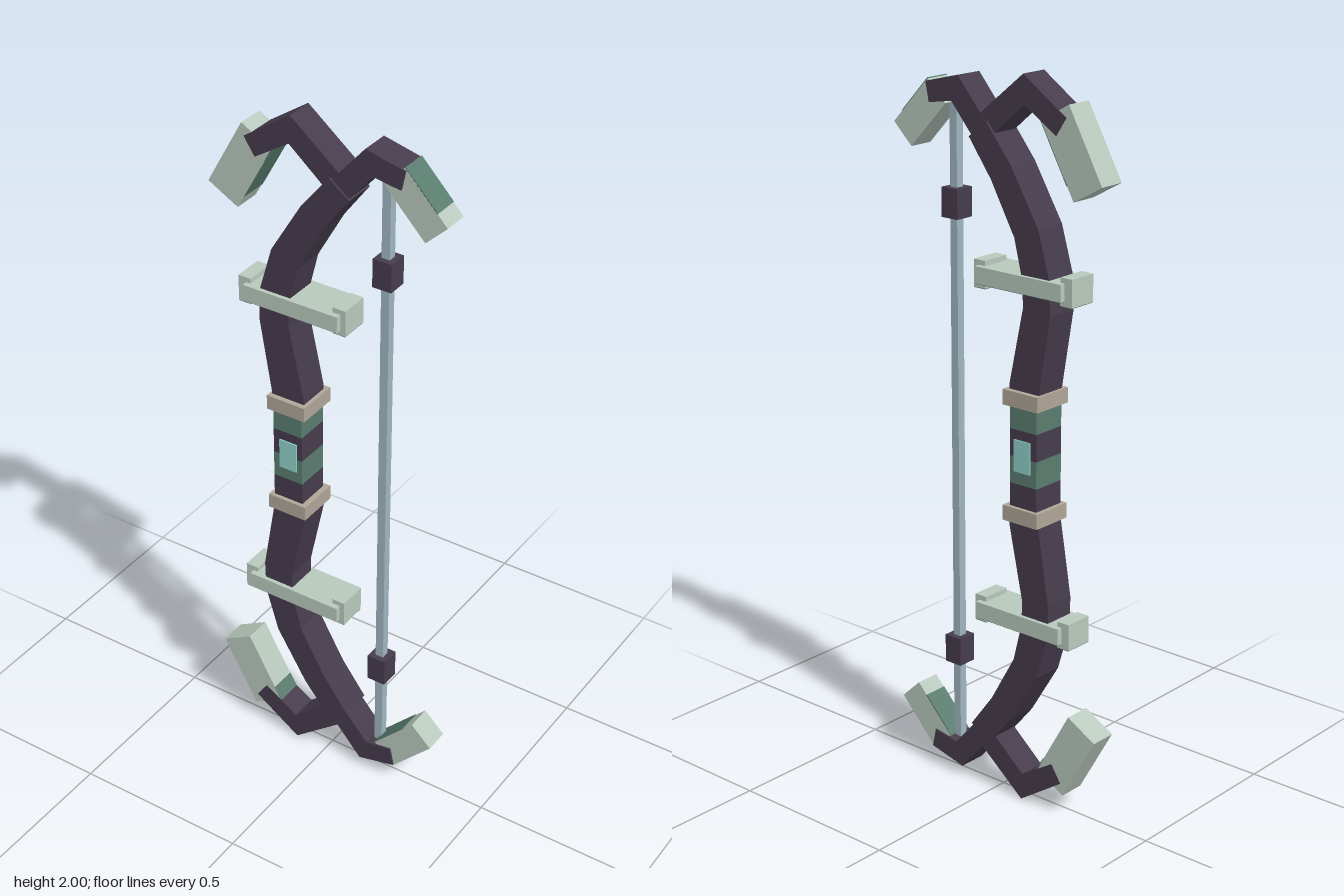
import * as THREE from 'three';

const paint = (name, color) => {
  const m = new THREE.MeshStandardMaterial({ color, flatShading: true });
  m.name = name;
  return m;
};

export function createModel() {
  const dark = paint('dark plum', 0x463c4c);
  const pale = paint('pale sage', 0xb9c9bd);
  const green = paint('deep green', 0x5b7d70);
  const tan = paint('tan', 0xb0a698);
  const cyan = paint('cyan', 0x8fd0c8);
  const steel = paint('blue grey', 0xa0b6c0);

  const bow = new THREE.Group();
  bow.name = 'bow';

  const add = (parent, name, geometry, material, x = 0, y = 0, z = 0) => {
    const mesh = new THREE.Mesh(geometry, material);
    mesh.name = name;
    mesh.position.set(x, y, z);
    parent.add(mesh);
    return mesh;
  };
  const box = (parent, name, material, w, h, d, x, y, z = 0) =>
    add(parent, name, new THREE.BoxGeometry(w, h, d), material, x, y, z);

  // Flat beam with mitred corners along [x, y, width] points
  const beam = (name, points, depth, flip) => {
    const pts = points.map(([x, y, w]) => ({ p: new THREE.Vector2(x, flip(y)), w }));
    const left = [], right = [];
    pts.forEach(({ p, w }, i) => {
      const a = pts[Math.max(i - 1, 0)].p, b = pts[Math.min(i + 1, pts.length - 1)].p;
      const d1 = (i ? p.clone().sub(a) : b.clone().sub(p)).normalize();
      const d2 = (b !== p ? b.clone().sub(p) : d1.clone()).normalize();
      const t = d1.clone().add(d2).normalize();
      const n = new THREE.Vector2(-t.y, t.x).multiplyScalar(w / 2 / t.dot(d1));
      left.push(p.clone().add(n));
      right.unshift(p.clone().sub(n));
    });
    const geometry = new THREE.ExtrudeGeometry(new THREE.Shape([...left, ...right]),
      { depth, bevelEnabled: false });
    add(bow, name, geometry.translate(0, 0, -depth / 2), dark);
  };

  // Blade: tilted slab with a green patch on one long face
  const blade = (name, x, y, tilt, w, h, d, side, patch, base) => {
    const group = new THREE.Group();
    group.name = name;
    group.position.set(x, y, 0);
    group.rotation.z = tilt;
    box(group, 'bladeBody', pale, w, h, d, 0, 0);
    box(group, 'bladePatch', green, 0.004, h * patch, d, side * w / 2, base * h * (1 - patch) / 2);
    bow.add(group);
  };

  for (const s of [1, -1]) {
    const flip = (y) => 1 + s * (y - 1);
    const half = s > 0 ? 'upper' : 'lower';

    // Curved limb, hooked tip and outer branch
    beam(half + 'Limb', [[-0.11, 1.15, 0.1], [-0.11, 1.19, 0.1], [-0.15, 1.4, 0.09],
      [-0.148, 1.48, 0.09], [-0.115, 1.6, 0.085], [-0.03, 1.745, 0.08], [0.048, 1.845, 0.074]],
      0.093, flip);
    beam(half + 'Tip', [[0.02, 1.812, 0.062], [0.13, 1.938, 0.062], [0.225, 1.918, 0.055]], 0.082, flip);
    beam(half + 'Branch', [[0.035, 1.85, 0.066], [-0.1, 1.961, 0.062], [-0.22, 1.882, 0.058]], 0.08, flip);

    // Blades at the limb ends
    blade(half + 'LeftBlade', 0.257, flip(1.86), s * 0.764, 0.084, 0.175, 0.072, s, 0.76, s);
    blade(half + 'RightBlade', -0.252, flip(1.82), s * -0.51, 0.102, 0.218, 0.077, 1, s > 0 ? 0.8 : 0.2, s);

    // Cross arm with end caps and green underside
    const armY = flip(1.468);
    box(bow, half + 'Arm', pale, 0.288, 0.046, 0.116, -0.094, armY);
    box(bow, half + 'ArmUnderside', green, 0.284, 0.004, 0.112, -0.094, armY - 0.023);
    for (const x of [-0.243, 0.046]) {
      box(bow, half + 'ArmCap', pale, 0.038, 0.074, 0.084, x, armY);
      box(bow, half + 'ArmCapUnderside', green, 0.036, 0.004, 0.082, x, armY - 0.037);
    }

    // Collar beside the grip and bead on the string
    box(bow, half + 'Collar', tan, 0.118, 0.042, 0.123, -0.108, flip(1.16));
    box(bow, half + 'Bead', dark, 0.055, 0.08, 0.057, 0.162, flip(1.633));

    // Window plates on the front and back of the grip
    box(bow, 'gripWindow', cyan, 0.054, 0.088, 0.008, -0.108, 1.004, s * 0.05);
  }

  // Banded grip
  [[0.86, 0.925, dark], [0.925, 1.0, green], [1.0, 1.075, dark], [1.075, 1.14, green]]
    .forEach(([a, b, m]) => box(bow, 'gripBand', m, 0.09, b - a, 0.1, -0.11, (a + b) / 2));

  // Bow string
  box(bow, 'string', steel, 0.024, 1.83, 0.024, 0.162, 1);

  return bow;
}
